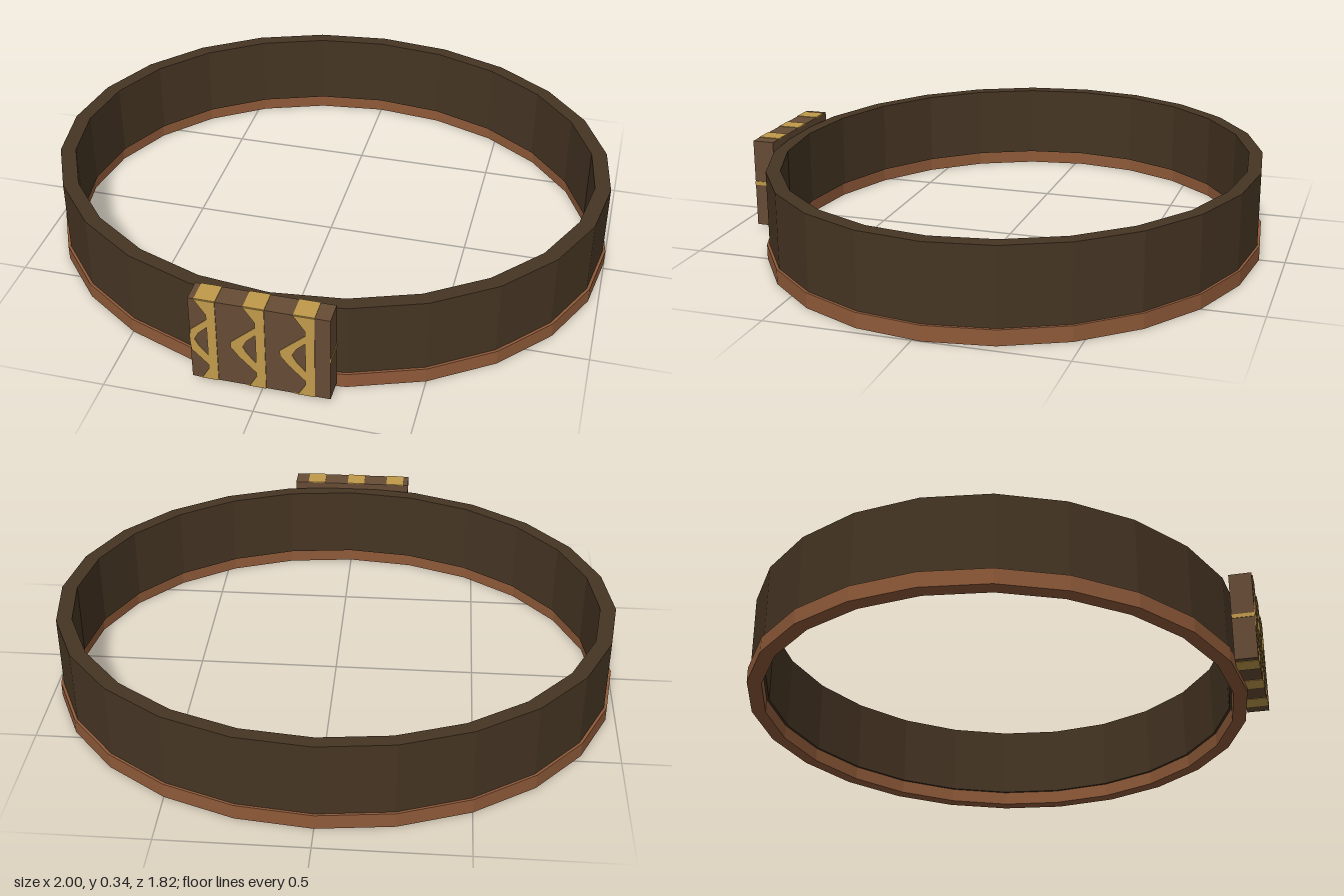
import * as THREE from 'three';

const material = (name, color) => {
  const m = new THREE.MeshStandardMaterial({ color });
  m.name = name;
  return m;
};

export function createModel() {
  const group = new THREE.Group();
  const leather = material('dark leather', 0x463523);
  const copper = material('copper trim', 0x8f5a39);
  const bronze = material('buckle brown', 0x664c35);
  const gold = material('gold', 0xc09a4a);

  const add = (name, geometry, mat, x = 0, y = 0, z = 0) => {
    const mesh = new THREE.Mesh(geometry, mat);
    mesh.name = name;
    mesh.position.set(x, y, z);
    group.add(mesh);
    return mesh;
  };

  // Faceted oval hoop with a rectangular section
  const hoop = (inner, outer, y0, y1) => {
    const profile = [[inner, y0], [outer, y0], [outer, y1], [inner, y1], [inner, y0]]
      .map(([r, y]) => new THREE.Vector2(r, y));
    const g = new THREE.LatheGeometry(profile, 24).scale(1, 1, 0.88).toNonIndexed();
    g.computeVertexNormals();
    return g;
  };
  add('band', hoop(0.935, 0.99, 0.05, 0.317), leather, 0, 0, -0.03);
  add('lowerTrim', hoop(0.945, 1.0, 0, 0.053), copper, 0, 0, -0.03);

  // Buckle block
  const W = 0.456, Y0 = 0.02, Y1 = 0.34, Z0 = 0.83, Z1 = 0.908;
  const mid = (Y0 + Y1) / 2, depth = Z1 - Z0, zMid = (Z0 + Z1) / 2;
  add('buckle', new THREE.BoxGeometry(W, Y1 - Y0, depth), bronze, 0, mid, zMid);

  // Gold ornaments: flared bar with a pierced chevron on its left
  for (const right of [-0.14, 0.018, 0.178]) {
    const point = ([x, y]) => new THREE.Vector2(Math.max(right + x, -W / 2), y);
    const outline = [
      [0, Y0], [0, Y1], [-0.068, Y1], [-0.03, 0.285], [-0.03, 0.265], [-0.085, 0.215],
      [-0.112, 0.19], [-0.112, 0.17], [-0.085, 0.135], [-0.03, 0.08], [-0.03, 0.065], [-0.055, Y0],
    ].map(point);
    const shape = new THREE.Shape(outline);
    shape.holes.push(new THREE.Path(
      [[-0.03, 0.235], [-0.03, 0.12], [-0.06, 0.155], [-0.073, 0.18], [-0.06, 0.205]].map(point)));
    add('frontOrnament', new THREE.ExtrudeGeometry(shape, { depth: 0.004, bevelEnabled: false }),
      gold, 0, 0, Z1 - 0.001);

    // Bars carried over the top and bottom edges
    for (const y of [Y0, Y1]) {
      add('edgeOrnament', new THREE.BoxGeometry(0.068, 0.004, depth), gold, right - 0.034, y, zMid);
    }
  }

  // Thin gold line on each end
  for (const side of [-1, 1]) {
    add('endLine', new THREE.BoxGeometry(0.004, 0.014, depth), gold, side * W / 2, mid, zMid);
  }
  return group;
}
